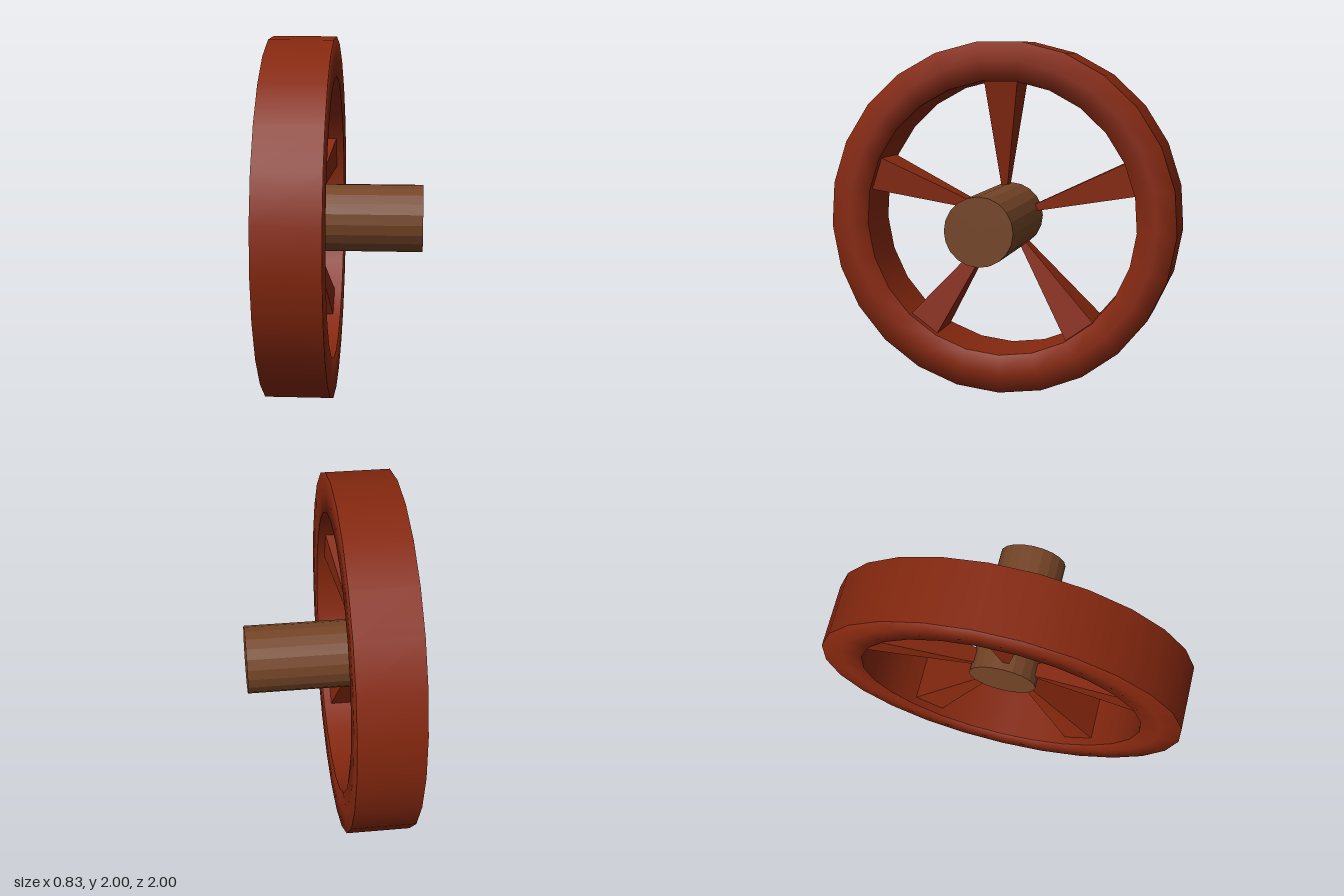
import * as THREE from 'three';

const SIDES = 25;
const OUTER = 1.002, INNER = 0.782, HALF_WIDTH = 0.175;
const RIM_X = -0.245;

// Open cylindrical wall along z; going from high to low makes it face inward.
function wall(radius, from, to) {
  const points = [new THREE.Vector2(radius, from), new THREE.Vector2(radius, to)];
  return new THREE.LatheGeometry(points, SIDES).rotateX(Math.PI / 2);
}

// Flat rim face whose normals lean outward and inward for a soft rounded look.
function rimFace() {
  const geo = new THREE.RingGeometry(INNER, OUTER, SIDES, 2, -Math.PI / 2);
  const pos = geo.attributes.position, mid = (INNER + OUTER) / 2;
  const n = new THREE.Vector3();
  for (let i = 0; i < pos.count; i++) {
    const r = Math.hypot(pos.getX(i), pos.getY(i));
    const lean = (r - mid) / (OUTER - mid) / r;
    n.set(pos.getX(i) * lean, pos.getY(i) * lean, 1).normalize();
    geo.attributes.normal.setXYZ(i, n.x, n.y, n.z);
  }
  return geo.translate(0, 0, HALF_WIDTH);
}

// Four-sided spoke that widens in both directions towards the rim.
function spokeGeometry() {
  const start = 0.16, end = 0.8;
  const geo = new THREE.BoxGeometry(1, end - start, 1).translate(0, (start + end) / 2, 0);
  const pos = geo.attributes.position;
  for (let i = 0; i < pos.count; i++) {
    const t = (pos.getY(i) - start) / (end - start);
    pos.setX(i, pos.getX(i) * THREE.MathUtils.lerp(0.03, 0.197, t));
    pos.setZ(i, pos.getZ(i) * THREE.MathUtils.lerp(0.07, 0.27, t));
  }
  geo.computeVertexNormals();
  return geo;
}

export function createModel() {
  const red = new THREE.MeshStandardMaterial({ color: 0x86280f });
  red.name = 'rustRed';
  const brown = new THREE.MeshStandardMaterial({ color: 0x754527, flatShading: true });
  brown.name = 'woodBrown';

  const model = new THREE.Group();
  model.name = 'wheel';

  // The wheel is built around z, then turned so its axle points along +x.
  const turned = new THREE.Group();
  turned.name = 'wheelAssembly';
  turned.rotation.y = Math.PI / 2;
  turned.position.set(RIM_X, OUTER, 0);
  model.add(turned);

  const add = (parent, name, geo, material) => {
    const mesh = new THREE.Mesh(geo, material);
    mesh.name = name;
    parent.add(mesh);
    return mesh;
  };

  // Rim
  const rim = new THREE.Group();
  rim.name = 'rim';
  turned.add(rim);
  add(rim, 'rimTread', wall(OUTER, -HALF_WIDTH, HALF_WIDTH), red);
  add(rim, 'rimInside', wall(INNER, HALF_WIDTH, -HALF_WIDTH), red);
  add(rim, 'rimFrontFace', rimFace(), red);
  add(rim, 'rimBackFace', rimFace().rotateY(Math.PI), red);

  // Spokes
  const spoke = spokeGeometry();
  for (let i = 0; i < 5; i++) {
    add(turned, 'spoke' + (i + 1), spoke, red).rotation.z = (i * Math.PI * 2) / 5;
  }

  // Axle
  const back = -0.325 - RIM_X, front = 0.415 - RIM_X;
  const axle = new THREE.CylinderGeometry(0.188, 0.188, front - back, 20).rotateX(Math.PI / 2);
  add(turned, 'axle', axle, brown).position.set(0.012, 0, (front + back) / 2);

  return model;
}
